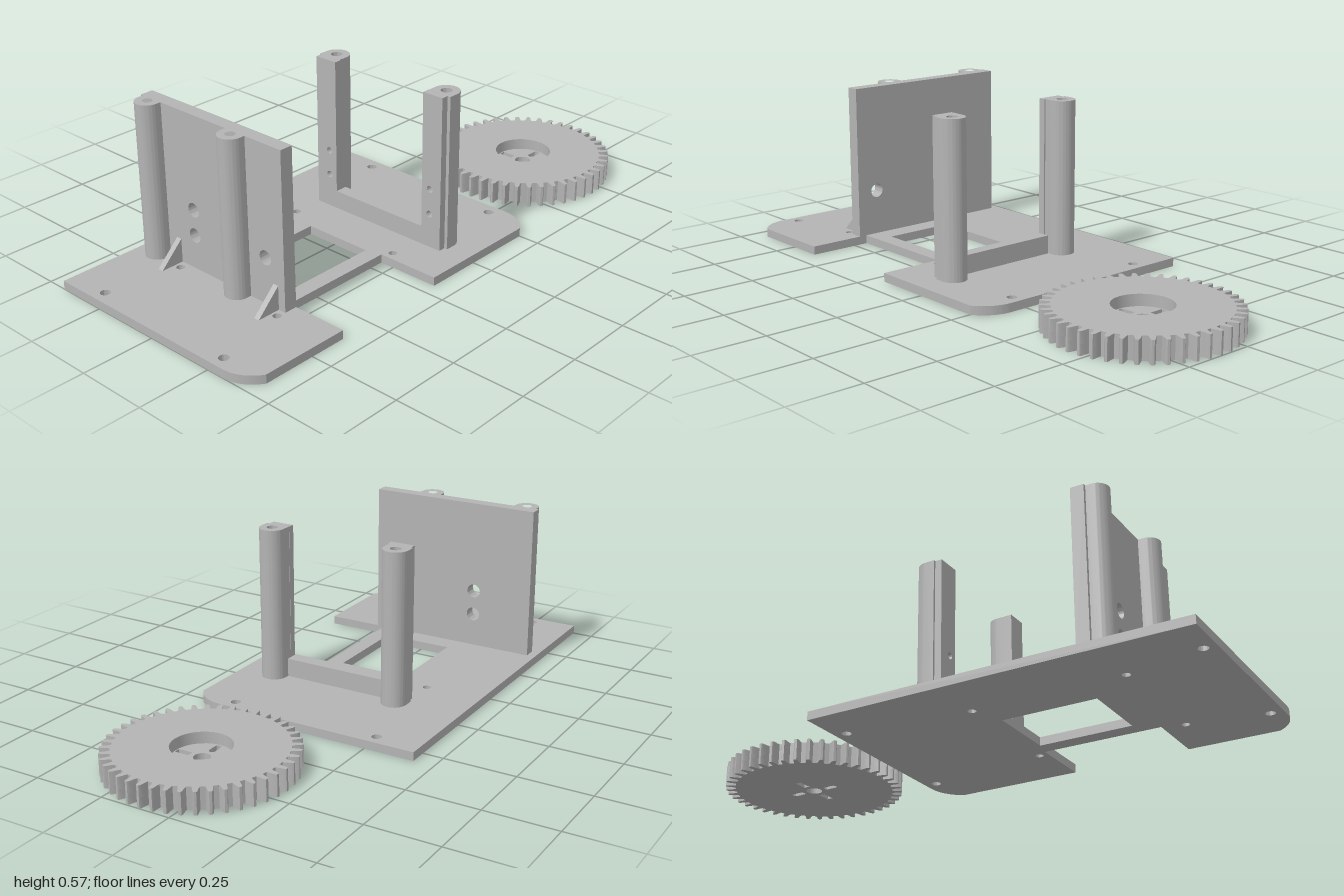
import * as THREE from 'three';
import { toCreasedNormals } from 'three/addons/utils/BufferGeometryUtils.js';

const TOP = 0.572, PLATE = 0.03;

export function createModel() {
  const group = new THREE.Group();
  const grey = new THREE.MeshStandardMaterial({ color: 0xb4b4b4 });
  grey.name = 'grey plastic';

  const add = (name, geometry, x = 0, y = 0, z = 0) => {
    const mesh = new THREE.Mesh(toCreasedNormals(geometry, 0.5), grey);
    mesh.name = name;
    mesh.position.set(x, y, z);
    group.add(mesh);
  };
  const hole = (shape, x, y, r) => {
    shape.holes.push(new THREE.Path().absarc(x, y, r, 0, Math.PI * 2, true));
  };
  const extrude = (shape, depth) =>
    new THREE.ExtrudeGeometry(shape, { depth, bevelEnabled: false, curveSegments: 20 });
  // Plan outlines are drawn as (x, -z) and raised along y
  const raise = (shape, height) => extrude(shape, height).rotateX(-Math.PI / 2);
  // Side outlines are drawn as (-z, y) and thickened along x
  const sideways = (shape, width) => extrude(shape, width).rotateY(Math.PI / 2);
  const rect = (a, b, c, d, T = THREE.Shape) => new T()
    .moveTo(a, b).lineTo(c, b).lineTo(c, d).lineTo(a, d).closePath();

  // Base plate with front notch, window and screw holes
  const plate = new THREE.Shape();
  plate.moveTo(-1, 0.428);
  plate.lineTo(-1, -0.31);
  plate.bezierCurveTo(-1, -0.36, -0.975, -0.4, -0.935, -0.425);
  plate.lineTo(-0.62, -0.425);
  plate.lineTo(-0.62, -0.2);
  plate.lineTo(-0.2, -0.2);
  plate.lineTo(-0.2, -0.425);
  plate.lineTo(0.25, -0.425);
  plate.bezierCurveTo(0.29, -0.4, 0.315, -0.36, 0.315, -0.31);
  plate.lineTo(0.315, 0.428);
  plate.closePath();
  plate.holes.push(rect(-0.545, -0.142, -0.213, 0.11, THREE.Path));
  for (const s of [-1, 1]) {
    for (const x of [-0.957, 0.273]) hole(plate, x, s * 0.273, 0.017);
    for (const x of [-0.695, -0.168]) hole(plate, x, s * 0.222, 0.014);
  }
  add('basePlate', raise(plate, PLATE));

  // Tall wall with three holes
  const wall = rect(-0.228, PLATE, 0.398, TOP);
  hole(wall, -0.148, 0.19, 0.025);
  for (const y of [0.15, 0.24]) hole(wall, 0.175, y, 0.025);
  add('wall', sideways(wall, 0.046), -0.666);

  // Round-backed screw column, open at the top; flat side at x0
  const column = (name, x0, cx, z, r, holeR) => {
    const s = new THREE.Shape();
    s.moveTo(x0, -z - r);
    s.lineTo(cx, -z - r);
    s.absarc(cx, -z, r, -Math.PI / 2, Math.PI / 2, cx < x0);
    s.lineTo(x0, -z + r);
    s.closePath();
    hole(s, cx, -z, holeR);
    add(name, raise(s, TOP - PLATE), 0, PLATE);
  };
  for (const z of [-0.345, 0.035]) column('wallColumn', -0.666, -0.684, z, 0.042, 0.017);

  // Triangular gussets behind the wall
  const gusset = new THREE.Shape()
    .moveTo(-0.75, PLATE).lineTo(-0.666, PLATE).lineTo(-0.666, 0.113).closePath();
  for (const z of [-0.255, 0.19]) add('gusset', extrude(gusset, 0.02), 0, 0, z - 0.01);

  // Free-standing posts with screw holes in the inner pad
  for (const [z, z0, z1, holeZ] of [[-0.188, -0.225, -0.138, -0.17], [0.292, 0.246, 0.325, 0.28]]) {
    column('post', -0.03, 0.005, z, 0.045, 0.019);
    const pad = rect(-z1, PLATE, -z0, TOP);
    for (const y of [0.15, 0.24]) hole(pad, -holeZ, y, 0.012);
    add('postPad', sideways(pad, 0.025), -0.055);
  }

  // Low bar joining the posts
  add('crossBar', new THREE.BoxGeometry(0.045, 0.065, 0.385), -0.0325, 0.0625, 0.0535);

  // Gear outline: each tooth is [fraction of pitch, radius]
  const gearShape = () => {
    const points = [], teeth = 44;
    const profile = [[-0.3, 0.279], [-0.23, 0.29], [-0.17, 0.307], [-0.09, 0.3135],
      [0.09, 0.3135], [0.17, 0.307], [0.23, 0.29], [0.3, 0.279]];
    for (let i = 0; i < teeth; i++) {
      for (const [f, r] of profile) {
        const a = (i + f) * Math.PI * 2 / teeth;
        points.push(new THREE.Vector2(r * Math.cos(a), r * Math.sin(a)));
      }
    }
    return new THREE.Shape(points);
  };

  // Gear floor with hub hole and four slots, and the rim around the recess
  const floor = gearShape();
  hole(floor, 0, 0, 0.028);
  for (const s of [-1, 1]) {
    floor.holes.push(rect(-0.011, s * 0.045, 0.011, s * 0.096, THREE.Path));
    const slot = new THREE.Path();
    slot.absarc(s * 0.054, 0, 0.011, Math.PI / 2, Math.PI * 1.5, s < 0);
    slot.absarc(s * 0.085, 0, 0.011, Math.PI * 1.5, Math.PI / 2, s < 0);
    floor.holes.push(slot);
  }
  add('gearFloor', raise(floor, 0.035), 0.686, 0, 0.111);
  const rim = gearShape();
  hole(rim, 0, 0, 0.1);
  add('gearRim', raise(rim, 0.04), 0.686, 0.035, 0.111);

  return group;
}
